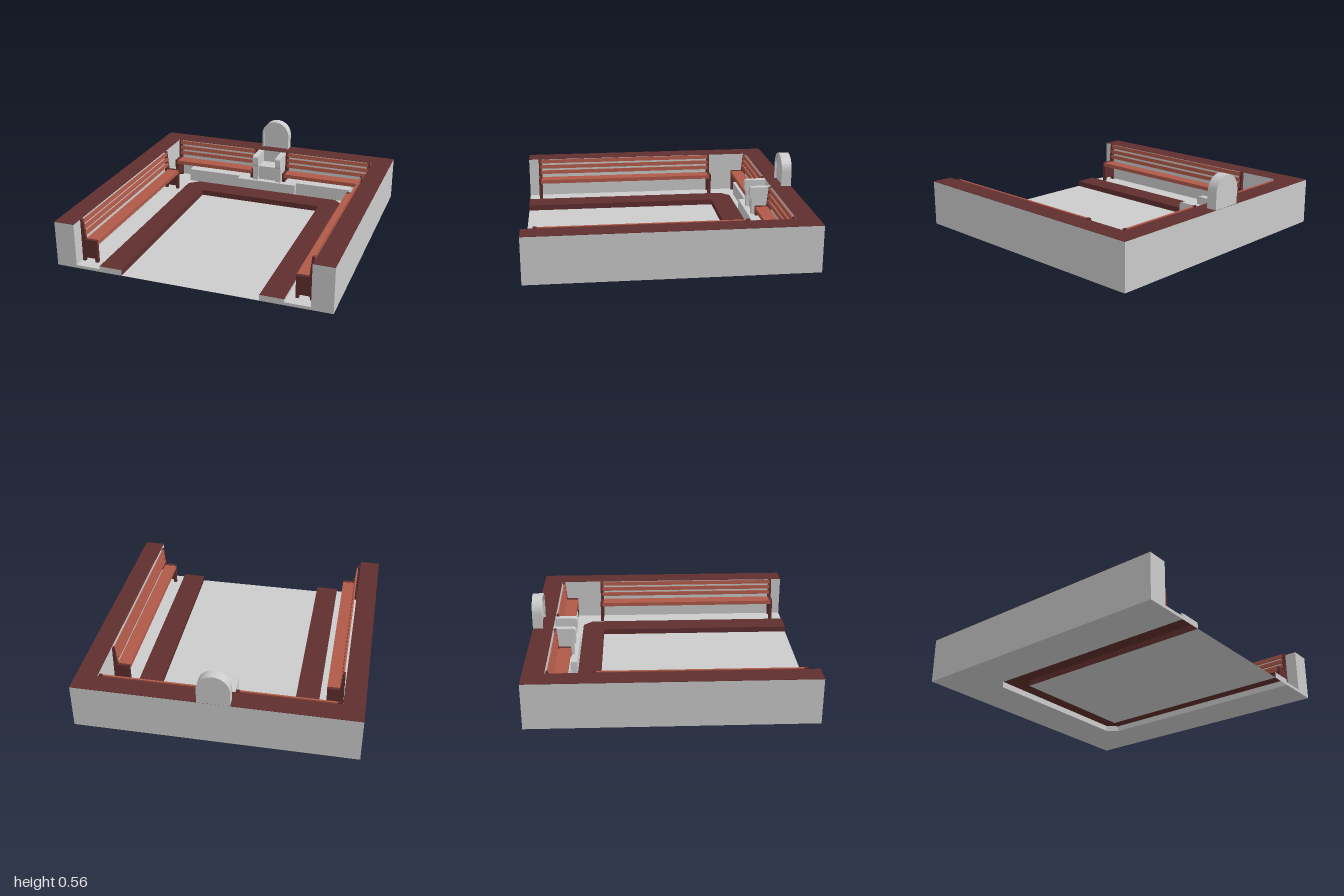
import * as THREE from 'three';

const mat = (color, side = THREE.FrontSide) => new THREE.MeshStandardMaterial({ color, side });
const GREY = mat(0xcccccc);
const GREY_OPEN = mat(0xcccccc, THREE.DoubleSide);
const DARK = mat(0x602e2e);
const DARK_OPEN = mat(0x602e2e, THREE.DoubleSide);
const RED = mat(0xb05a49);

function add(parent, name, geometry, material) {
  const mesh = new THREE.Mesh(geometry, material);
  mesh.name = name;
  parent.add(mesh);
  return mesh;
}

// Box given by its extents on each axis
function box(parent, name, material, x0, x1, y0, y1, z0, z1) {
  const g = new THREE.BoxGeometry(x1 - x0, y1 - y0, z1 - z0);
  g.translate((x0 + x1) / 2, (y0 + y1) / 2, (z0 + z1) / 2);
  return add(parent, name, g, material);
}

const shapeOf = (pts) => new THREE.Shape(pts.map(([a, b]) => new THREE.Vector2(a, b)));

// Plan outline in (x, z), raised from y0 to y1
function planSlab(pts, y0, y1) {
  const g = new THREE.ExtrudeGeometry(shapeOf(pts.map(([x, z]) => [x, -z])), { depth: y1 - y0, bevelEnabled: false });
  return g.rotateX(-Math.PI / 2).translate(0, y0, 0);
}

// Side profile in (z, y), centred on x with the given thickness
function sideProfile(shape, thickness, x) {
  const g = new THREE.ExtrudeGeometry(shape, { depth: thickness, bevelEnabled: false, curveSegments: 10 });
  return g.rotateY(-Math.PI / 2).translate(x + thickness / 2, 0, 0);
}

// Upright strip following a plan path
function riser(pts, y0, y1) {
  const pos = [];
  for (let i = 0; i < pts.length - 1; i++) {
    const [ax, az] = pts[i], [bx, bz] = pts[i + 1];
    pos.push(ax, y0, az, bx, y0, bz, bx, y1, bz, ax, y0, az, bx, y1, bz, ax, y1, az);
  }
  const g = new THREE.BufferGeometry();
  g.setAttribute('position', new THREE.Float32BufferAttribute(pos, 3));
  g.computeVertexNormals();
  return g;
}

// Bench with its back against local z = 0, facing +z
function makeBench(name, length) {
  const bench = new THREE.Group();
  bench.name = name;
  const end = shapeOf([
    [0.005, 0.02], [0.025, 0.02], [0.03, 0.05], [0.1, 0.05], [0.105, 0.02], [0.125, 0.02],
    [0.125, 0.19], [0.037, 0.19], [0.022, 0.34], [0.006, 0.34],
  ]);
  const half = length / 2, t = 0.025;
  for (const s of [-1, 1]) add(bench, 'benchEnd', sideProfile(end, t, s * (half - t / 2)), DARK);
  box(bench, 'benchSeat', RED, -half + 0.015, half - 0.015, 0.158, 0.188, 0.03, 0.127);
  // Back slats lean towards the wall
  for (const y of [0.23, 0.275, 0.32]) {
    const slat = add(bench, 'backSlat', new THREE.BoxGeometry(length - 0.03, 0.029, 0.012), RED);
    slat.position.set(0, y, 0.033 - (y - 0.19) * 0.1);
    slat.rotation.x = -0.1;
  }
  return bench;
}

function makeThrone() {
  const throne = new THREE.Group();
  throne.name = 'throne';

  // Arched headboard with a raised rim
  const arch = (Type, w, y0, top) => {
    const s = new Type(), spring = top - w;
    s.moveTo(-w, y0);
    s.lineTo(w, y0);
    s.lineTo(w, spring);
    s.absarc(0, spring, w, 0, Math.PI, false);
    s.lineTo(-w, y0);
    return s;
  };
  const extrude = (shape, z0, z1) => new THREE.ExtrudeGeometry(shape, {
    depth: z1 - z0, bevelEnabled: false, curveSegments: 20,
  }).translate(0, 0, z0);
  add(throne, 'headboard', extrude(arch(THREE.Shape, 0.115, 0.12, 0.563), -1, -0.94), GREY);
  const rim = arch(THREE.Shape, 0.115, 0.12, 0.563);
  rim.holes.push(arch(THREE.Path, 0.1, 0.135, 0.548));
  add(throne, 'headboardRim', extrude(rim, -0.94, -0.925), GREY);

  // Seat, back cushion and arms
  box(throne, 'throneSeat', GREY, -0.075, 0.075, 0.12, 0.235, -0.94, -0.725);
  const arm = new THREE.Shape();
  arm.moveTo(-0.94, 0.12);
  arm.lineTo(-0.7, 0.12);
  arm.lineTo(-0.7, 0.24);
  arm.lineTo(-0.685, 0.26);
  arm.lineTo(-0.685, 0.31);
  arm.quadraticCurveTo(-0.685, 0.332, -0.71, 0.332);
  arm.lineTo(-0.94, 0.332);
  for (const s of [-1, 1]) add(throne, 'throneArm', sideProfile(arm, 0.045, s * 0.097), GREY);
  return throne;
}

export function createModel() {
  const model = new THREE.Group();
  model.name = 'courtyard';

  // U-shaped surrounding wall with a coloured top
  const wallPlan = [[-1, 1], [-0.85, 1], [-0.85, -0.85], [0.85, -0.85], [0.85, 1], [1, 1], [1, -1], [-1, -1]];
  add(model, 'wall', planSlab(wallPlan, 0, 0.333), GREY);
  add(model, 'wallTop', planSlab(wallPlan, 0.333, 0.335), DARK);

  // Walkway floor between wall and curb
  const outer = [[-0.67, 1], [-0.67, -0.6], [-0.6, -0.67], [0.6, -0.67], [0.67, -0.6], [0.67, 1]];
  const inner = [[-0.5, 1], [-0.5, -0.5], [0.5, -0.5], [0.5, 1]];
  const floorPlan = [[-0.85, 1], ...outer, [0.85, 1], [0.85, -0.85], [-0.85, -0.85]];
  add(model, 'walkway', planSlab(floorPlan, 0, 0.022), GREY);

  // Hollow raised curb around the court
  const curbPlan = [...outer, ...[...inner].reverse()].map(([x, z]) => [x, -z]);
  const curbTop = new THREE.ShapeGeometry(shapeOf(curbPlan)).rotateX(-Math.PI / 2).translate(0, 0.044, 0);
  add(model, 'curbTop', curbTop, DARK_OPEN);
  add(model, 'curbInnerFace', riser(inner, 0, 0.044), DARK_OPEN);
  add(model, 'curbOuterFace', riser(outer, 0, 0.044), GREY_OPEN);
  for (const s of [-1, 1]) add(model, 'curbFrontFace', riser([[s * 0.67, 1], [s * 0.5, 1]], 0, 0.044), GREY_OPEN);

  // Sunken court floor
  const court = new THREE.PlaneGeometry(1, 1.5).rotateX(-Math.PI / 2).translate(0, 0.001, 0.25);
  add(model, 'courtFloor', court, GREY_OPEN);

  // Low plinth under the rear benches and the throne
  box(model, 'plinthCentre', GREY, -0.25, 0.25, 0.02, 0.12, -0.85, -0.675);
  for (const s of [-1, 1]) {
    box(model, 'plinthSide', GREY, s * 0.475 - 0.225, s * 0.475 + 0.225, 0.02, 0.125, -0.85, -0.72);
  }

  // Benches: one along each side wall, two along the rear wall
  for (const s of [-1, 1]) {
    const side = makeBench(s > 0 ? 'leftBench' : 'rightBench', 1.45);
    side.position.set(s * 0.848, 0, 0.195);
    side.rotation.y = -s * Math.PI / 2;
    model.add(side);
    const rear = makeBench(s > 0 ? 'rearLeftBench' : 'rearRightBench', 0.715);
    rear.position.set(s * 0.483, 0, -0.849);
    model.add(rear);
  }

  model.add(makeThrone());
  return model;
}
